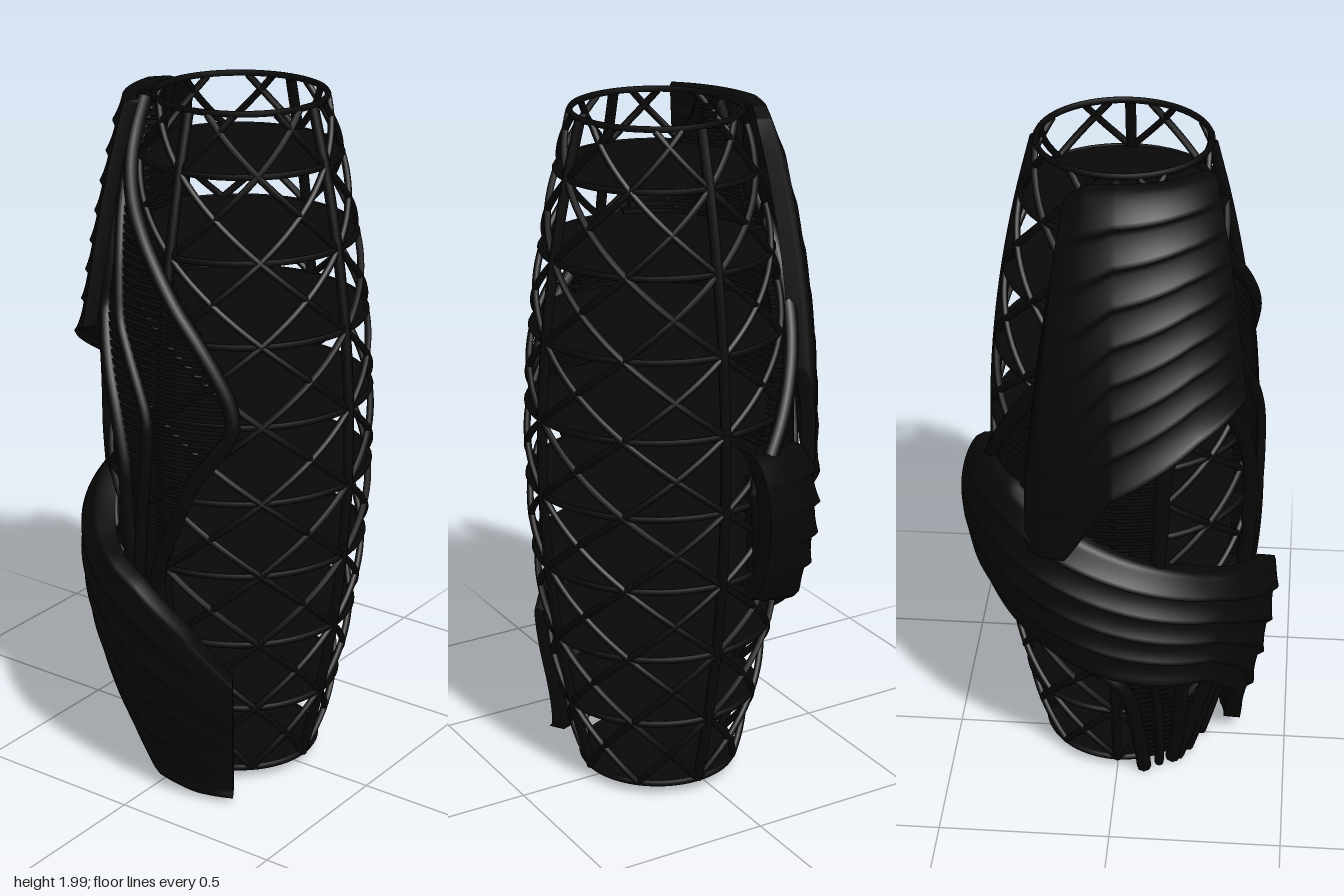
import * as THREE from 'three';

const AX = 0.045, RAD = Math.PI / 180;
const material = new THREE.MeshStandardMaterial({ color: 0x080808, side: THREE.DoubleSide });

// barrel-shaped tower radius at a height
const towerR = y => 0.37 - 0.14 * ((y - 1.03) / 0.98) ** 2;
// point at angle (0 = +x, 90 = front), radius, height
const polar = (deg, r, y) => new THREE.Vector3(AX + r * Math.cos(deg * RAD), y, r * Math.sin(deg * RAD));

// piecewise linear lookup: rows are [key, a, b, ...]
function lookup(rows, k, col) {
  if (k <= rows[0][0]) return rows[0][col];
  for (let i = 1; i < rows.length; i++) {
    const a = rows[i - 1], b = rows[i];
    if (k <= b[0]) return THREE.MathUtils.lerp(a[col], b[col], (k - a[0]) / (b[0] - a[0]));
  }
  return rows[rows.length - 1][col];
}

function add(group, name, geometry) {
  const mesh = new THREE.Mesh(geometry, material);
  mesh.name = name;
  group.add(mesh);
  return mesh;
}

function tube(group, name, points, r, segments) {
  add(group, name, new THREE.TubeGeometry(new THREE.CatmullRomCurve3(points), segments, r, 8));
}

// flat curved slat between two angles
function slat(group, name, d0, d1, rIn, rOut, y, h) {
  const s = new THREE.Shape();
  s.absarc(0, 0, rOut, d0 * RAD, d1 * RAD, false);
  s.absarc(0, 0, rIn, d1 * RAD, d0 * RAD, true);
  const g = new THREE.ExtrudeGeometry(s, { depth: h, bevelEnabled: false, curveSegments: 20 });
  g.rotateX(Math.PI / 2);
  add(group, name, g).position.set(AX, y + h / 2, 0);
}

// thick bulging ribbon; rows are [angle, top, bottom, top offset, middle offset, hem offset],
// with shingle bands that flare most in the middle of its length
function ribbon(group, name, rows, { bands, flare, depth }) {
  const N = 72, M = bands * 8, cols = [], pos = [], idx = [];
  const d0 = rows[0][0], d1 = rows[rows.length - 1][0];
  cols.push([0, 0]);
  for (let i = 0; i <= N; i++) cols.push([i / N, depth]);
  cols.push([1, 0]);
  const ring = 2 * (M + 1);
  cols.forEach(([u, thick], c) => {
    const deg = d0 + (d1 - d0) * u;
    const [top, bottom, brim, belly, hem] = [1, 2, 3, 4, 5].map(col => lookup(rows, deg, col));
    for (let k = 0; k < ring; k++) {
      const inner = k > M, j = inner ? ring - 1 - k : k;
      const t = j / M, y = top + (bottom - top) * t;
      const f = t === 1 ? 1 : (t * bands) % 1;
      const rise = Math.sqrt(Math.max(0, Math.sin(Math.PI * t)));
      const offset = THREE.MathUtils.lerp(t < 0.5 ? brim : hem, belly, rise);
      const shingle = flare * Math.sin(Math.PI * u) * (f * f - 0.4);
      const p = polar(deg, towerR(y) + offset + shingle - (inner ? thick : 0), y);
      pos.push(p.x, p.y, p.z);
      if (c > 0) {
        const a = (c - 1) * ring + k, b = (c - 1) * ring + (k + 1) % ring;
        idx.push(a, a + ring, b, b, a + ring, b + ring);
      }
    }
  });
  const g = new THREE.BufferGeometry();
  g.setAttribute('position', new THREE.Float32BufferAttribute(pos, 3));
  g.setIndex(idx);
  g.computeVertexNormals();
  add(group, name, g);
}

export function createModel() {
  const model = new THREE.Group();
  model.name = 'tower';
  const frame = new THREE.Group(), screen = new THREE.Group(), skin = new THREE.Group();
  frame.name = 'latticeFrame'; screen.name = 'slatScreen'; skin.name = 'ribbonSkin';
  model.add(frame, screen, skin);

  // floor plates and rings
  const step = 0.2238;
  for (let i = 0; i < 10; i++) {
    const y = Math.min(0.04 + step * i, 1.99), r = towerR(y);
    if (i < 9) add(frame, 'floor', new THREE.CylinderGeometry(r - 0.005, r - 0.005, 0.012, 64)).position.set(AX, y, 0);
    const ring = add(frame, 'floorRing', new THREE.TorusGeometry(r, 0.009, 6, 64));
    ring.rotation.x = Math.PI / 2;
    ring.position.set(AX, y, 0);
  }

  // crossing diagonals, eight in each direction, an eighth of a turn per floor
  for (let n = 0; n < 8; n++) {
    for (const dir of [1, -1]) {
      const pts = [];
      for (let i = 0; i <= 54; i++) {
        const y = 0.04 + 1.945 * i / 54;
        pts.push(polar(n * 45 + dir * 45 * (y - 0.04) / step, towerR(y), y));
      }
      tube(frame, 'diagonal', pts, 0.01, 108);
    }
  }

  // upright ribs
  for (const deg of [0, 90, 180, 270]) {
    const pts = [];
    for (let i = 0; i <= 12; i++) {
      const y = 0.04 + 1.945 * i / 12;
      pts.push(polar(deg, towerR(y), y));
    }
    tube(frame, 'rib', pts, 0.015, 40);
  }

  // slat screen outline: height, then front lobe angles and back lobe angles
  const lobes = [
    [0, 100, 133, 137, 160], [0.4, 92, 122, 145, 175], [0.7, 92, 107, 163, 250], [1.0, 73, 108, 160, 256],
    [1.1, 62, 112, 160, 244], [1.18, 55, 117, 158, 236], [1.3, 63, 128, 153, 223], [1.4, 73, 138, 142, 212],
    [1.6, 98, 140, 142, 190], [1.85, 138, 151, 152, 168], [1.97, 152, 156, 157, 161],
  ];
  for (let y = 0.06; y < 1.96; y += 0.022) {
    const r = towerR(y);
    for (const c of [1, 3]) {
      slat(screen, 'slat', lookup(lobes, y, c), lookup(lobes, y, c + 1), r - 0.03, r + 0.02, y, 0.013);
    }
  }

  // strands bordering and crossing the screen, running down to the feet
  const strand = (c, t, rad) => {
    const pts = [];
    for (let i = 0; i <= 24; i++) {
      const y = 0.01 + 1.96 * i / 24;
      const deg = THREE.MathUtils.lerp(lookup(lobes, y, c), lookup(lobes, y, c + 1), t);
      pts.push(polar(deg, towerR(y) + 0.022, y));
    }
    tube(screen, 'strand', pts, rad, 96);
  };
  for (const c of [1, 3]) {
    strand(c, 0, 0.022);
    strand(c, 1, 0.022);
  }
  strand(1, 0.65, 0.018);
  strand(3, 0.5, 0.014);

  // upper shingled ribbon
  ribbon(skin, 'upperRibbon', [
    [128, 1.99, 1.36, 0.09, 0.09, 0.1], [150, 1.99, 1.29, 0.09, 0.085, 0.1], [180, 1.99, 1.14, 0.09, 0.085, 0.105],
    [195, 1.98, 0.93, 0.08, 0.09, 0.105], [205, 1.95, 0.91, 0.07, 0.09, 0.1], [213, 1.25, 0.9, 0.05, 0.08, 0.08],
  ], { bands: 8, flare: 0.025, depth: 0.04 });
  // lower ribbon sweeping from the back round to the front foot
  ribbon(skin, 'lowerRibbon', [
    [57, 0.41, 0.02, 0.1, 0.115, 0.15], [75, 0.56, 0.02, 0.1, 0.12, 0.13], [95, 0.68, 0.05, 0.105, 0.125, 0.12],
    [108, 0.72, 0.19, 0.1, 0.12, 0.1], [122, 0.75, 0.31, 0.08, 0.11, 0.09], [140, 0.8, 0.42, 0.06, 0.1, 0.08],
    [180, 0.92, 0.48, 0.05, 0.09, 0.07], [225, 1.06, 0.58, 0.04, 0.1, 0.05], [259, 1.09, 0.66, 0.03, 0.105, 0.04],
  ], { bands: 5, flare: 0.035, depth: 0.05 });
  return model;
}
